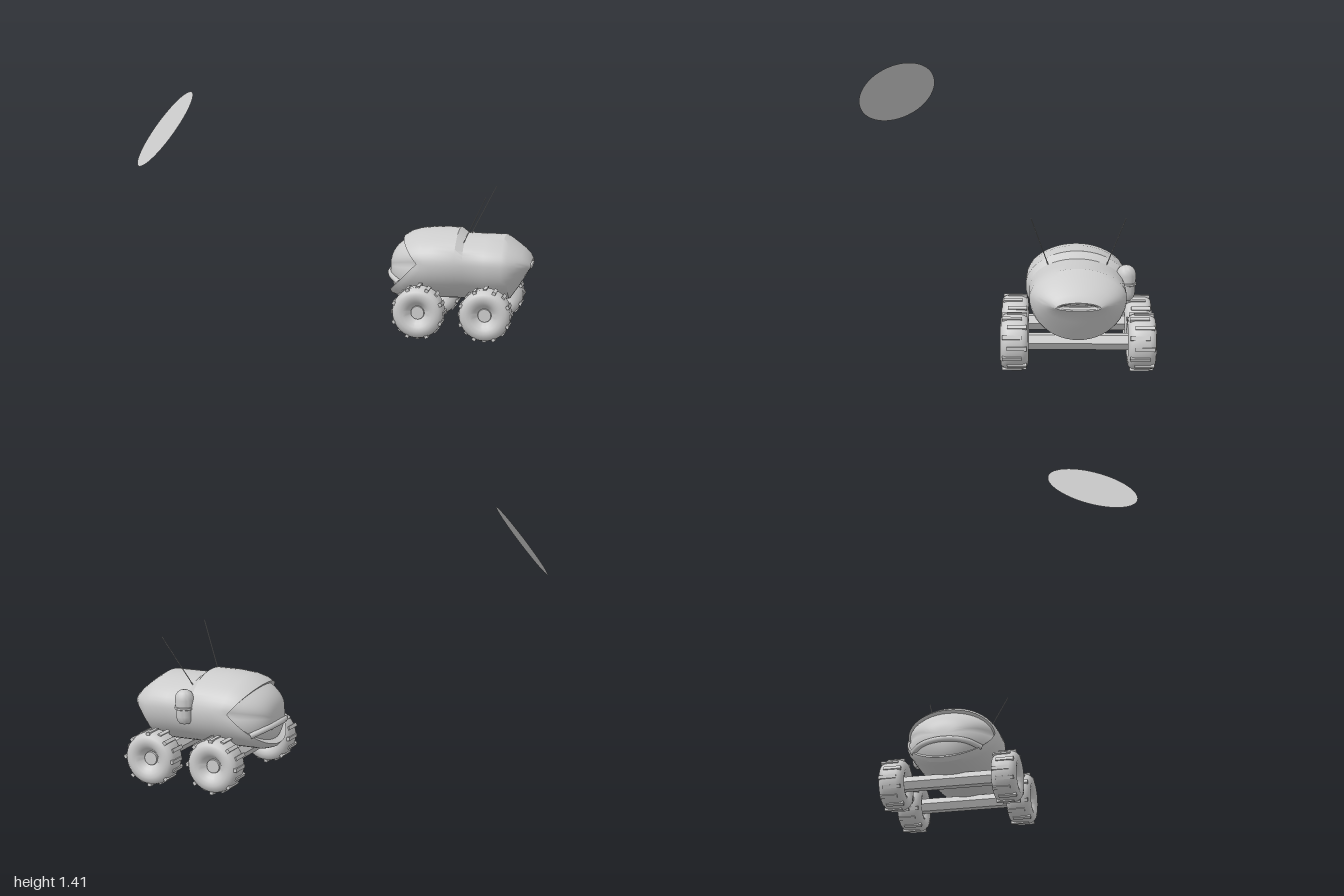
import * as THREE from 'three';
import { toCreasedNormals } from 'three/addons/utils/BufferGeometryUtils.js';

const CZ = -0.43; // centre line of the rover
const SEG = 48;
const grey = new THREE.MeshStandardMaterial({ color: 0xcccccc });
const greyDouble = new THREE.MeshStandardMaterial({ color: 0xcccccc, side: THREE.DoubleSide });

function add(parent, name, geometry, material = grey) {
  const mesh = new THREE.Mesh(geometry, material);
  mesh.name = name;
  parent.add(mesh);
  return mesh;
}

// Skin over sections [xTop, xMid, xBottom, yTop, yMid, yBottom, halfWidth], running towards +x
function loft(sections, crease = 0.5) {
  const pos = [], index = [];
  sections.forEach(([xt, xm, xb, yt, ym, yb, hw], k) => {
    for (let i = 0; i < SEG; i++) {
      const a = (i / SEG) * Math.PI * 2, s = Math.sin(a), up = Math.abs(s);
      pos.push(
        xm + ((s > 0 ? xt : xb) - xm) * up,
        ym + ((s > 0 ? yt : yb) - ym) * up,
        CZ + hw * Math.cos(a));
      if (k === sections.length - 1) continue;
      const p = k * SEG + i, q = k * SEG + (i + 1) % SEG;
      index.push(p, p + SEG, q, q, p + SEG, q + SEG);
    }
  });
  const g = new THREE.BufferGeometry();
  g.setAttribute('position', new THREE.Float32BufferAttribute(pos, 3));
  g.setIndex(index);
  return toCreasedNormals(g, crease);
}

// Same x all round the section
const flat = (x, yt, ym, yb, hw) => [x, x, x, yt, ym, yb, hw];

function rod(parent, name, a, b, radius, sides) {
  const dir = b.clone().sub(a);
  const mesh = add(parent, name, new THREE.CylinderGeometry(radius, radius, dir.length(), sides));
  mesh.position.copy(a).add(b).multiplyScalar(0.5);
  mesh.quaternion.setFromUnitVectors(new THREE.Vector3(0, 1, 0), dir.normalize());
  return mesh;
}

function makeWheel() {
  const wheel = new THREE.Group();
  wheel.name = 'wheel';
  // Dished tyre, the same on both faces
  const half = [[0, 0.04], [0.036, 0.04], [0.038, 0.03], [0.046, 0.038], [0.06, 0.056], [0.078, 0.068],
    [0.1, 0.073], [0.122, 0.068], [0.137, 0.054], [0.143, 0.036]];
  const profile = [...half.map(([r, h]) => [r, -h]), ...half.slice().reverse()]
    .map(([r, h]) => new THREE.Vector2(r, h));
  const tyre = add(wheel, 'tyre', toCreasedNormals(new THREE.LatheGeometry(profile, 40), 0.6));
  tyre.rotation.x = Math.PI / 2;
  // Tread bars, shifted to alternate edges
  const bar = new THREE.BoxGeometry(0.02, 0.016, 0.1);
  for (let i = 0; i < 16; i++) {
    const a = (i / 16) * Math.PI * 2;
    const lug = add(wheel, 'treadBar', bar);
    lug.position.set(Math.cos(a) * 0.141, Math.sin(a) * 0.141, i % 2 ? 0.012 : -0.012);
    lug.rotation.z = a - Math.PI / 2;
  }
  return wheel;
}

export function createModel() {
  const model = new THREE.Group();
  model.name = 'roverAndSunDisc';
  const rover = new THREE.Group();
  rover.name = 'rover';
  model.add(rover);

  // Bulging windshield, from its middle out to its rim
  const tip = flat(0.183, 0.35, 0.35, 0.35, 0);
  const rim = [0.275, 0.375, 0.205, 0.515, 0.4, 0.232, 0.245];
  const shield = [];
  for (let k = 0; k <= 12; k++) {
    const r = k / 12;
    shield.push(rim.map((v, j) => THREE.MathUtils.lerp(tip[j], v, j < 3 ? r ** 3 : r)));
  }
  add(rover, 'windshield', loft(shield, 1));

  // Hull: slanted front opening, raised cabin roof, lower rear, tapered tail with a vent slot
  add(rover, 'hull', loft([
    rim,
    [0.26, 0.365, 0.175, 0.53, 0.405, 0.212, 0.254],
    [0.3, 0.385, 0.195, 0.555, 0.403, 0.19, 0.26],
    [0.355, 0.41, 0.235, 0.572, 0.4, 0.178, 0.264],
    flat(0.45, 0.582, 0.4, 0.178, 0.266),
    flat(0.58, 0.582, 0.4, 0.18, 0.266),
    flat(0.622, 0.55, 0.4, 0.18, 0.247),
    flat(0.74, 0.55, 0.4, 0.18, 0.247),
    flat(0.84, 0.55, 0.4, 0.18, 0.246),
    flat(0.87, 0.532, 0.4, 0.187, 0.238),
    flat(0.91, 0.503, 0.4, 0.245, 0.212),
    flat(0.945, 0.475, 0.4, 0.3, 0.18),
    flat(0.975, 0.447, 0.395, 0.352, 0.142),
    flat(0.992, 0.412, 0.385, 0.37, 0.11),
    flat(0.987, 0.404, 0.385, 0.376, 0.1),
    flat(0.955, 0.39, 0.385, 0.38, 0.08),
    flat(0.95, 0.385, 0.385, 0.385, 0),
  ]));

  // Bumper strip wrapped under the windshield
  const bend = [[0.26, 0.285, 0.2], [0.212, 0.307, 0.14], [0.188, 0.318, 0.075], [0.18, 0.322, 0]];
  const path = [...bend, ...bend.slice(0, -1).reverse().map(([x, y, z]) => [x, y, -z])]
    .map(([x, y, z]) => new THREE.Vector3(x, y, CZ + z));
  add(rover, 'bumper', new THREE.TubeGeometry(new THREE.CatmullRomCurve3(path), 32, 0.016, 10));

  // Hexagonal axles, each with a wheel at both ends
  for (const x of [0.393, 0.767]) {
    const axle = add(rover, 'axle', toCreasedNormals(
      new THREE.CylinderGeometry(0.044, 0.044, 0.6, 6).rotateY(Math.PI / 2).rotateX(Math.PI / 2), 0.3));
    axle.position.set(x, 0.151, CZ);
    for (const side of [-1, 1]) {
      const wheel = makeWheel();
      wheel.position.set(x, 0.15, CZ - 0.003 + side * 0.324);
      rover.add(wheel);
    }
  }

  // Pair of thin antennas leaning back and outwards
  for (const s of [-1, 1]) {
    rod(rover, 'antenna', new THREE.Vector3(0.617, 0.515, CZ + s * 0.15),
      new THREE.Vector3(0.752, 0.79, CZ + s * 0.24), 0.0025, 6);
  }

  // Domed lamp on the right flank
  const lampProfile = [[0, 0.33], [0.028, 0.334], [0.042, 0.352], [0.046, 0.375], [0.046, 0.412],
    [0.053, 0.415], [0.053, 0.425], [0.049, 0.428], [0.051, 0.466], [0.047, 0.487], [0.037, 0.504],
    [0.02, 0.515], [0, 0.518]].map(([r, y]) => new THREE.Vector2(r, y));
  const lamp = add(rover, 'sideLamp', toCreasedNormals(new THREE.LatheGeometry(lampProfile, 28), 0.7));
  lamp.position.set(0.617, 0, -0.683);

  // Flat disc floating in the sky, facing the rover
  const disc = add(model, 'sunDisc', new THREE.CircleGeometry(0.238, 64), greyDouble);
  disc.position.set(-0.83, 1.217, 0.615);
  disc.quaternion.setFromUnitVectors(new THREE.Vector3(0, 0, 1),
    new THREE.Vector3(0.7, -0.6, -0.385).normalize());

  return model;
}
